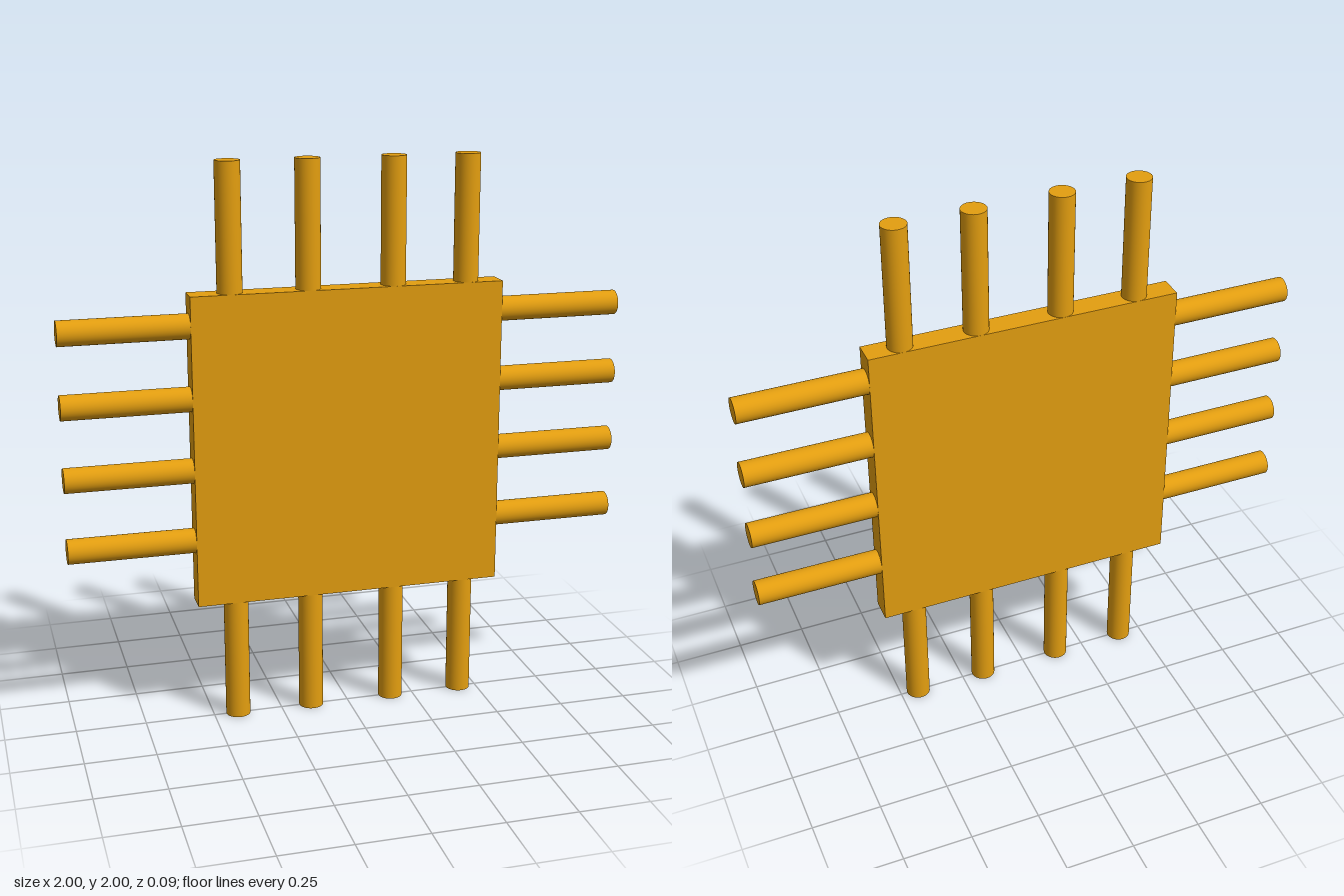
import * as THREE from 'three';

const HALF = 0.555;      // half width of the square plate
const CENTRE_Y = 1;
const RADIUS = 0.044;
const PIN_LENGTH = 1 - HALF;

export function createModel() {
  const group = new THREE.Group();
  const amber = new THREE.MeshStandardMaterial({ color: 0xe39e10 });
  amber.name = 'amber';

  // Square plate
  const plate = new THREE.Mesh(new THREE.BoxGeometry(HALF * 2, HALF * 2, RADIUS * 2), amber);
  plate.name = 'plate';
  plate.position.y = CENTRE_Y;
  group.add(plate);

  // Round pins on all four edges
  const pinGeometry = new THREE.CylinderGeometry(RADIUS, RADIUS, PIN_LENGTH, 32);
  const reach = HALF + PIN_LENGTH / 2;
  const addPin = (name, x, y, turn) => {
    const pin = new THREE.Mesh(pinGeometry, amber);
    pin.name = name;
    pin.position.set(x, y, 0);
    pin.rotation.z = turn;
    group.add(pin);
  };
  for (const side of [1, -1]) {
    for (const x of [-0.412, -0.138, 0.166, 0.432]) {
      addPin(side > 0 ? 'topPin' : 'bottomPin', x, CENTRE_Y + side * reach, 0);
    }
    for (const y of [0.68, 0.936, 1.192, 1.447]) {
      addPin(side > 0 ? 'leftPin' : 'rightPin', side * reach, y, Math.PI / 2);
    }
  }
  return group;
}
